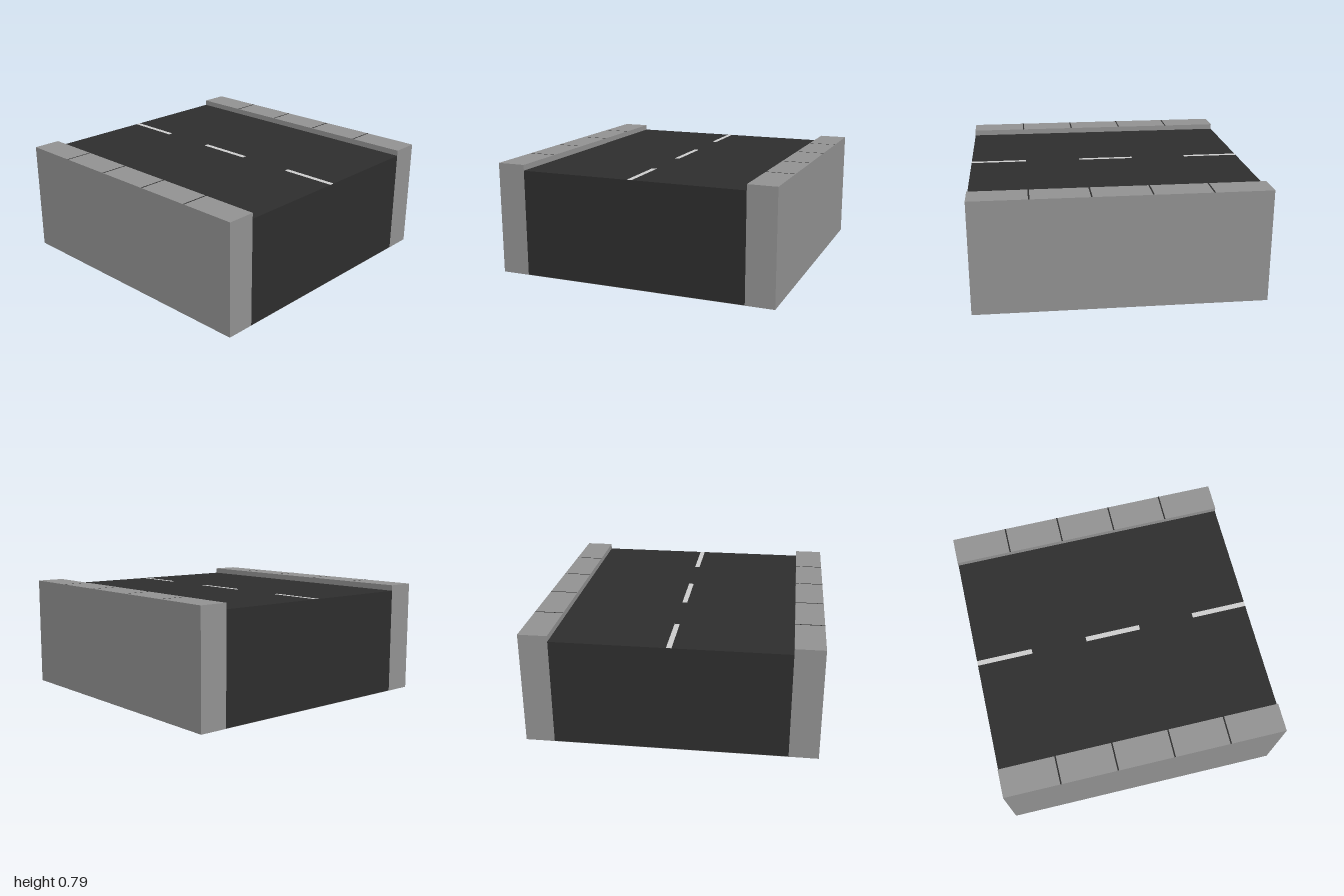
import * as THREE from 'three';

const CURB_H = 0.79, ROAD_H = 0.75, ROAD_W = 1.6, CURB_W = 0.2, LEN = 2;

export function createModel() {
  const model = new THREE.Group();
  model.name = 'roadSection';
  const asphalt = new THREE.MeshStandardMaterial({ color: 0x2d2d2d });
  const concrete = new THREE.MeshStandardMaterial({ color: 0x919191 });
  const paint = new THREE.MeshStandardMaterial({ color: 0xcccccc });

  function add(name, geometry, material, x, y, z, parent = model) {
    const mesh = new THREE.Mesh(geometry, material);
    mesh.name = name;
    mesh.position.set(x, y, z);
    parent.add(mesh);
    return mesh;
  }
  // Flat marking facing up
  const flat = (w, d) => new THREE.PlaneGeometry(w, d).rotateX(-Math.PI / 2);

  // Roadbed, resting on a thin concrete underside
  const base = 0.002;
  add('underside', new THREE.BoxGeometry(ROAD_W, base, LEN), concrete, 0, base / 2, 0);
  add('roadbed', new THREE.BoxGeometry(ROAD_W, ROAD_H - base, LEN), asphalt, 0, (ROAD_H + base) / 2, 0);

  // Broken centre line
  for (const z of [-0.8, 0, 0.8]) {
    add('centreDash', flat(0.036, 0.4), paint, 0, ROAD_H + 0.001, z);
  }

  // Pavements on both sides, with narrow joints between the slabs
  for (const side of [-1, 1]) {
    const pavement = new THREE.Group();
    pavement.name = side > 0 ? 'leftPavement' : 'rightPavement';
    pavement.position.x = side * (ROAD_W + CURB_W) / 2;
    add('kerb', new THREE.BoxGeometry(CURB_W, CURB_H, LEN), concrete, 0, CURB_H / 2, 0, pavement);
    for (const z of [-0.6, -0.2, 0.2, 0.6]) {
      add('slabJoint', flat(CURB_W, 0.01), asphalt, 0, CURB_H + 0.001, z, pavement);
    }
    model.add(pavement);
  }
  return model;
}
